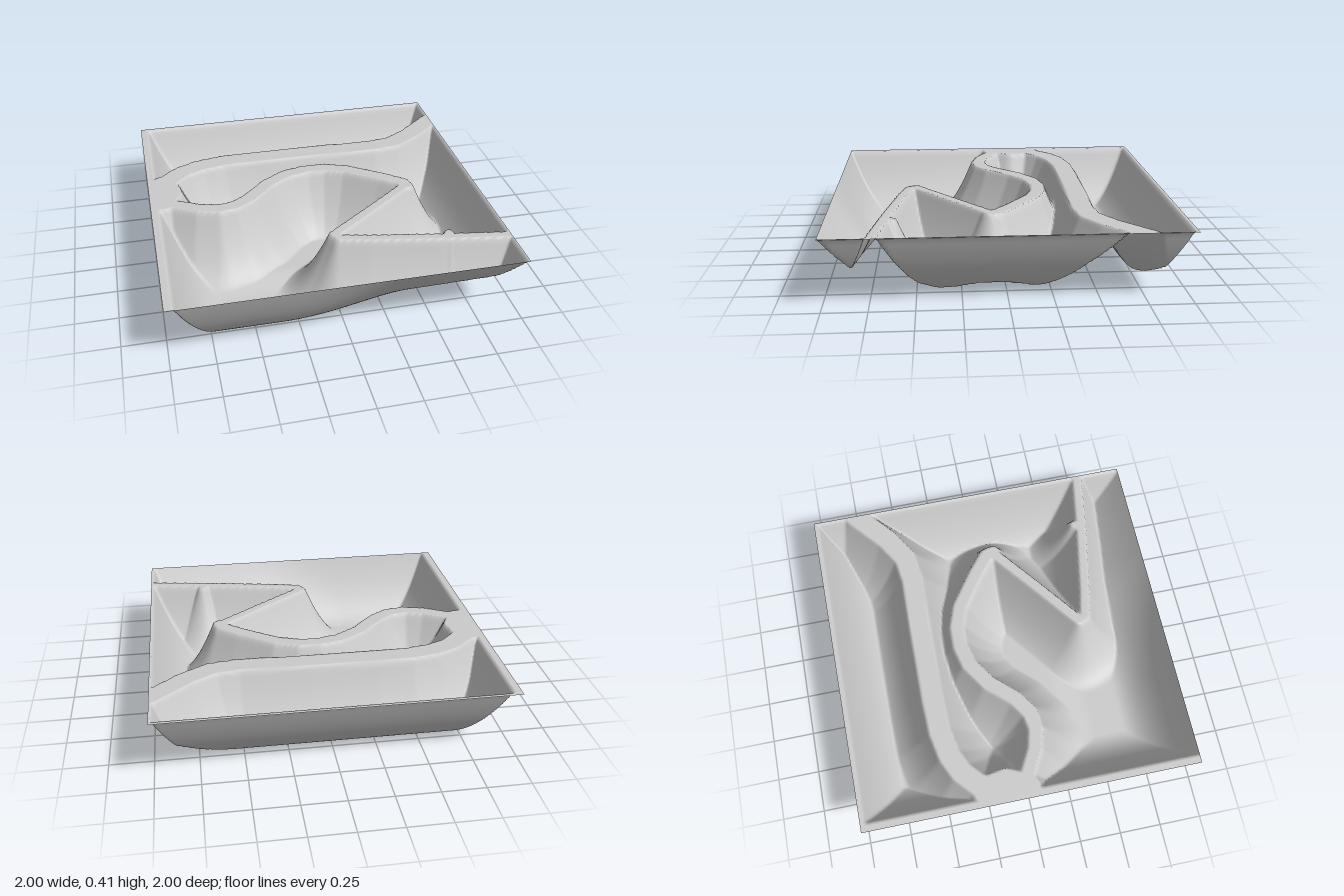
import * as THREE from 'three';

const RIM = 0.405;      // height of rim and ridge tops
const REACH = 0.32;     // distance over which a slope falls to the floor
const SEGMENTS = 180;

// Ridges: centre line as [x, z] points, and half the width of the top
const ridges = [
  // broad back ridge, curving out of the left wall to the back corner
  { width: 0.065, path: [[-0.98, -0.22], [-0.87, -0.29], [-0.77, -0.38], [-0.66, -0.43], [-0.5, -0.46],
    [-0.3, -0.465], [0.1, -0.46], [0.5, -0.45], [0.65, -0.47], [0.8, -0.56], [1, -0.73]] },
  // shoulder of the left wall between the two ridges
  { width: 0.08, path: [[-0.9, -0.26], [-0.88, -0.14], [-0.93, -0.03]] },
  // winding middle ridge
  { width: 0.045, path: [[-1, -0.04], [-0.85, 0], [-0.72, 0.07], [-0.6, 0.1], [-0.5, 0.085], [-0.4, 0.02],
    [-0.27, -0.12], [-0.13, -0.21], [0, -0.24], [0.12, -0.235], [0.25, -0.19], [0.45, -0.05],
    [0.56, 0.04], [0.57, 0.08]] },
  // hairpin ridge, back to the centre and out to the front right
  { width: 0.03, path: [[0.57, 0.08], [0.3, 0.29], [0.01, 0.51], [0.03, 0.55], [0.2, 0.59],
    [0.6, 0.665], [1, 0.73]] },
  // knob on the hairpin ridge
  { width: 0.025, path: [[0.65, 0.68], [0.66, 0.63]] },
];

// Distance from a point to the segment a-b
function segmentDistance(x, z, [ax, az], [bx, bz]) {
  const dx = bx - ax, dz = bz - az;
  const t = THREE.MathUtils.clamp(((x - ax) * dx + (z - az) * dz) / (dx * dx + dz * dz), 0, 1);
  return Math.hypot(x - ax - t * dx, z - az - t * dz);
}

// Slopes fall in a rounded curve away from the nearest wall or ridge
function heightAt(x, z) {
  // the front wall is gentler beside the narrow channel at the right
  const front = (1 - z) * (1 - 0.42 * THREE.MathUtils.smoothstep(x, -0.35, 0.4));
  let d = Math.min(0.985 - x, x + 0.95, z + 0.975, front);
  for (const { width, path } of ridges) {
    for (let i = 1; i < path.length; i++) {
      d = Math.min(d, segmentDistance(x, z, path[i - 1], path[i]) - width);
    }
  }
  const t = THREE.MathUtils.clamp(d / REACH, 0, 1);
  // the floor is lowest at the front
  const floor = 0.035 * (1 - THREE.MathUtils.smoothstep(z, 0.28, 0.5));
  return Math.max(floor, RIM * (1 - t) ** 2);
}

export function createModel() {
  const group = new THREE.Group();
  group.name = 'valleyBasin';

  // Terrain sheet: a square grid lowered into valleys
  const geometry = new THREE.PlaneGeometry(2, 2, SEGMENTS, SEGMENTS).rotateX(-Math.PI / 2);
  const position = geometry.attributes.position;
  for (let i = 0; i < position.count; i++) {
    position.setY(i, heightAt(position.getX(i), position.getZ(i)));
  }
  geometry.computeVertexNormals();

  const material = new THREE.MeshStandardMaterial({ color: 0xcccccc, side: THREE.DoubleSide });
  const terrain = new THREE.Mesh(geometry, material);
  terrain.name = 'terrain';
  group.add(terrain);
  return group;
}
